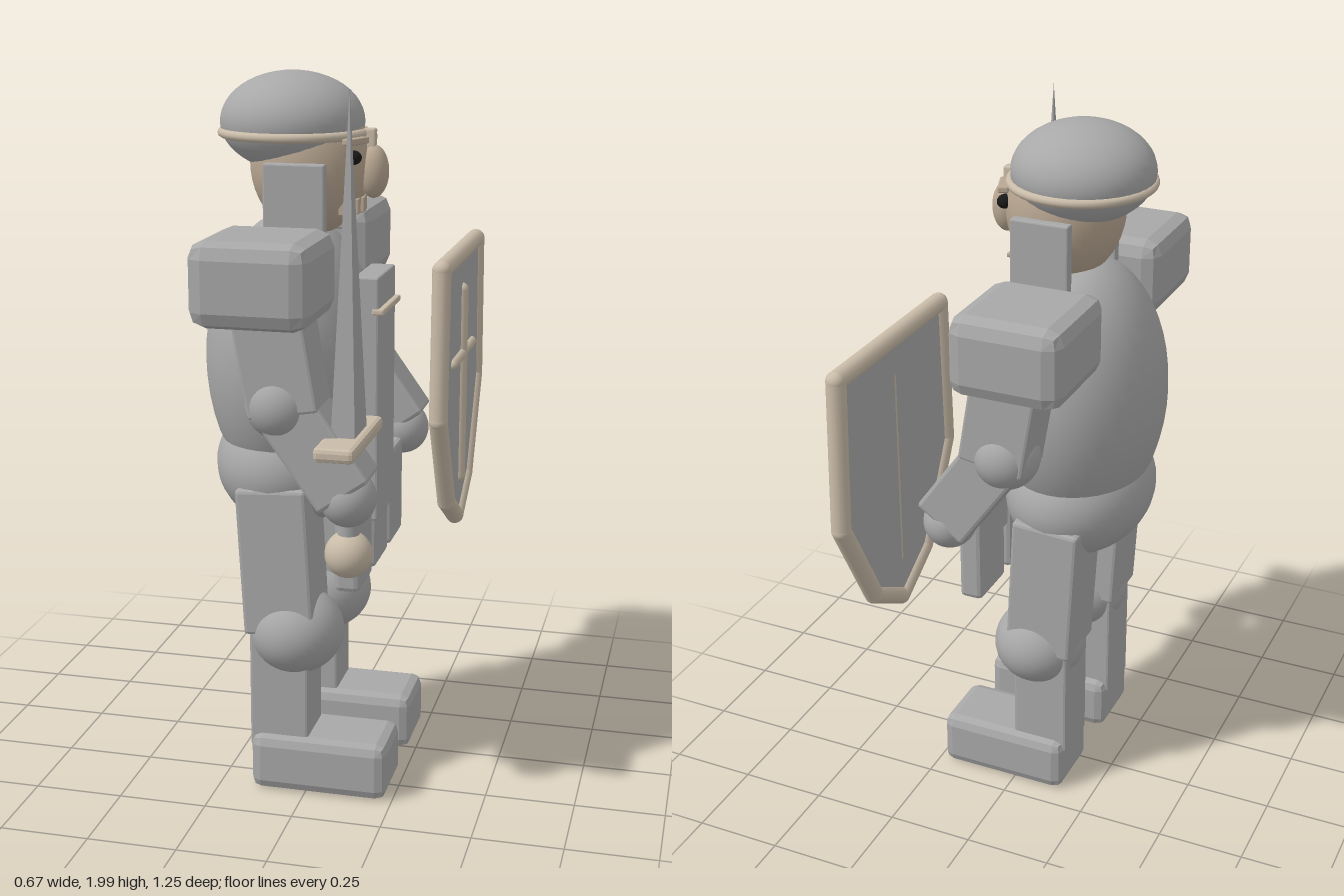
import * as THREE from 'three';
import { RoundedBoxGeometry } from 'three/addons/geometries/RoundedBoxGeometry.js';

const material = (name, color) => Object.assign(new THREE.MeshStandardMaterial({ color }), { name });

export function createModel() {
  const steel = material('steel', 0xa8a8a8);
  const trim = material('pale trim', 0xc9bba8);
  const skin = material('skin', 0xb9a792);
  const dark = material('eye black', 0x181818);

  const knight = new THREE.Group();
  knight.name = 'knight';
  const midZ = 0.09; // the body faces +x, with its middle plane here

  const add = (name, geometry, mat, x, y, z) => {
    const mesh = new THREE.Mesh(geometry, mat);
    mesh.name = name;
    mesh.position.set(x, y, z);
    knight.add(mesh);
    return mesh;
  };
  const ball = (name, mat, [x, y, z], rx, ry = rx, rz = rx) =>
    add(name, new THREE.SphereGeometry(1, 36, 24).scale(rx, ry, rz), mat, x, y, z);
  // box with faceted, chamfered edges
  const block = (name, mat, [x, y, z], [w, h, d], bevel = 0.01, tilt = 0) => {
    const geometry = new RoundedBoxGeometry(w, h, d, 1, bevel);
    geometry.computeVertexNormals();
    const mesh = add(name, geometry, mat, x, y, z);
    mesh.rotation.z = tilt;
    return mesh;
  };

  // Trunk
  ball('torso', steel, [-0.1, 1.22, midZ], 0.235, 0.4, 0.295);
  ball('hips', steel, [-0.1, 0.92, midZ], 0.21, 0.19, 0.27);
  block('tabard', steel, [0.135, 1.122, midZ], [0.07, 0.685, 0.22], 0.006);
  block('tabardBand', trim, [0.168, 1.37, midZ], [0.035, 0.018, 0.225], 0.005);
  for (const i of [-1, 0, 1]) {
    block('tasset', steel, [0.125, 0.772, midZ + i * 0.205], [0.07, 0.285, 0.17], 0.014);
  }

  // Head and helmet
  ball('head', skin, [-0.045, 1.76, midZ], 0.165, 0.203, 0.165);
  ball('helmet', steel, [-0.095, 1.865, midZ], 0.197, 0.135, 0.197);
  const rim = add('helmetRim', new THREE.TorusGeometry(0.194, 0.013, 10, 48), trim, -0.092, 1.836, midZ);
  rim.rotation.x = Math.PI / 2;
  block('noseGuard', trim, [0.122, 1.815, midZ], [0.03, 0.07, 0.03], 0.005);
  ball('nose', skin, [0.13, 1.735, midZ], 0.042, 0.072, 0.043);
  for (let i = -2; i <= 2; i++) {
    block('tooth', skin, [0.092 - 0.006 * i * i, 1.645, midZ + i * 0.038], [0.03, 0.042, 0.027], 0.003);
  }
  block('mouth', skin, [0.078, 1.628, midZ], [0.025, 0.012, 0.19], 0.003);

  // Parts that come in pairs
  for (const s of [-1, 1]) {
    const z = offset => midZ + s * offset;

    ball('eye', dark, [0.095, 1.78, z(0.09)], 0.022, 0.019, 0.027);
    const brow = block('eyebrow', skin, [0.1, 1.823, z(0.085)], [0.03, 0.018, 0.09], 0.004);
    brow.rotation.y = s * -0.35;
    block('cheekPlate', steel, [-0.045, 1.66, z(0.172)], [0.168, 0.22, 0.032], 0.005);

    block('pauldron', steel, [-0.083, 1.497, z(0.35)], [0.32, 0.225, 0.335], 0.045);
    block('upperArm', steel, [-0.04, 1.33, z(0.362)], [0.19, 0.36, 0.15], 0.008, 0.17);
    ball('elbow', steel, [-0.033, 1.17, z(0.37)], 0.093);
    block('forearm', steel, [0.065, 1.06, z(0.36)], [0.165, 0.29, 0.145], 0.01, 0.62);
    ball('hand', steel, [0.147, 0.925, z(0.36)], 0.075, 0.078, 0.08);

    block('thigh', steel, [-0.085, 0.685, z(0.172)], [0.2, 0.42, 0.19], 0.01, 0.055);
    ball('knee', steel, [-0.045, 0.465, z(0.172)], 0.133, 0.122, 0.138);
    block('shin', steel, [-0.078, 0.31, z(0.172)], [0.168, 0.36, 0.16], 0.008);
    block('foot', steel, [0.038, 0.09, z(0.172)], [0.39, 0.165, 0.215], 0.03);
  }

  // Sword, held upright
  const swordX = 0.147, swordZ = 0.445;
  const blade = new THREE.ConeGeometry(Math.SQRT1_2, 1, 4).rotateY(Math.PI / 4)
    .scale(0.065, 0.9, 0.14).toNonIndexed();
  blade.computeVertexNormals();
  add('blade', blade, steel, swordX, 1.535, swordZ);
  block('crossguard', trim, [swordX, 1.085, swordZ], [0.107, 0.038, 0.358], 0.012);
  add('grip', new THREE.CylinderGeometry(0.03, 0.03, 0.32, 16), steel, swordX, 0.92, swordZ);
  ball('pommel', trim, [swordX, 0.767, swordZ], 0.064);

  // Shield, outlined in (z, y) from its middle
  const shieldX = 0.304, shieldZ = -0.293;
  const outline = [[-0.288, 1.455], [0.288, 1.455], [0.306, 1.025], [0.152, 0.74], [0, 0.652], [-0.152, 0.74], [-0.306, 1.025]]
    .map(([z, y]) => new THREE.Vector2(z, y));
  const panel = new THREE.ExtrudeGeometry(new THREE.Shape(outline), { depth: 0.024, bevelEnabled: false });
  panel.translate(0, 0, -0.012).rotateY(Math.PI / 2);
  add('shieldPanel', panel, steel, shieldX, 0, shieldZ);
  const rimPath = new THREE.CurvePath();
  outline.forEach((p, i) => {
    const q = outline[(i + 1) % outline.length];
    rimPath.add(new THREE.LineCurve3(new THREE.Vector3(0, p.y, p.x), new THREE.Vector3(0, q.y, q.x)));
  });
  // one straight tube per side, with a ball at each corner
  for (const { v1, v2 } of rimPath.curves) {
    add('shieldRim', new THREE.TubeGeometry(new THREE.LineCurve3(v1, v2), 1, 0.027, 14), trim, shieldX, 0, shieldZ);
    ball('shieldRimCorner', trim, [shieldX, v1.y, v1.z + shieldZ], 0.027);
  }
  add('shieldCrossUpright', new THREE.CapsuleGeometry(0.021, 0.57, 6, 14), trim, 0.312, 1.063, shieldZ);
  const bar = add('shieldCrossBar', new THREE.CapsuleGeometry(0.016, 0.33, 6, 14), trim, 0.316, 1.157, shieldZ);
  bar.rotation.x = Math.PI / 2;

  return knight;
}
